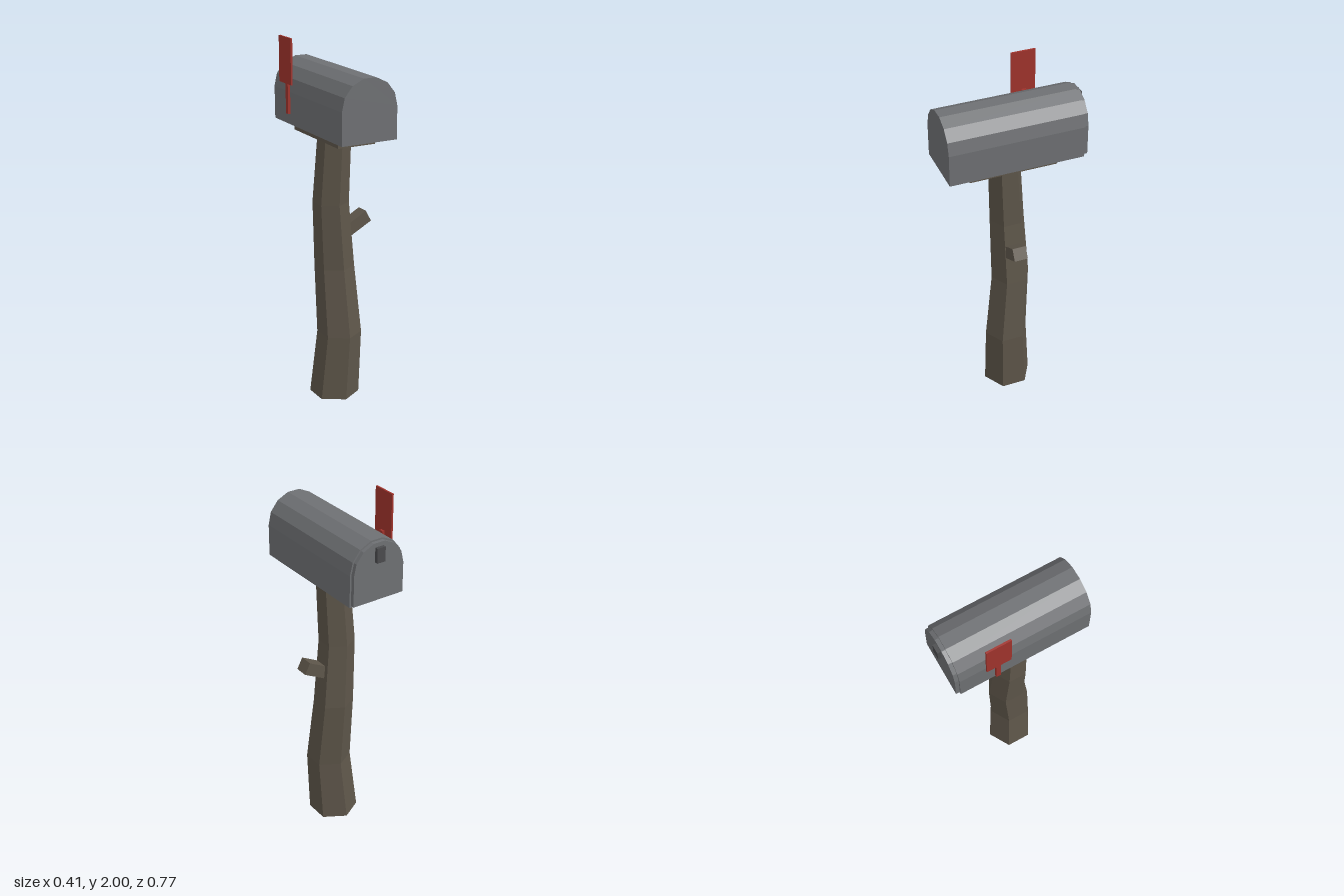
import * as THREE from 'three';

const mat = (color) => new THREE.MeshStandardMaterial({ color, flatShading: true });

export function createModel() {
  const model = new THREE.Group();
  const wood = mat(0x5e564a), metal = mat(0x6e7073), dark = mat(0x4a4b4d), red = mat(0xa0332c);

  const add = (name, geometry, material, x = 0, y = 0, z = 0) => {
    const mesh = new THREE.Mesh(geometry, material);
    mesh.name = name;
    mesh.position.set(x, y, z);
    model.add(mesh);
    return mesh;
  };
  const box = (name, material, [w, h, d], [x, y, z]) =>
    add(name, new THREE.BoxGeometry(w, h, d), material, x, y, z);

  // Crooked hexagonal post: each ring is [x, y, z, radius]
  const rings = [
    [-0.008, 0, 0.021, 0.136],
    [0.016, 0.365, 0.034, 0.122],
    [0.002, 0.75, 0.003, 0.109],
    [-0.025, 1.12, 0.011, 0.098],
    [-0.013, 1.485, 0.029, 0.09],
  ];
  const post = new THREE.CylinderGeometry(1, 1, 1, 6, rings.length - 1);
  const p = post.attributes.position;
  for (let i = 0; i < p.count; i++) {
    const [x, y, z, r] = rings[Math.round((p.getY(i) + 0.5) * (rings.length - 1))];
    p.setXYZ(i, x + p.getX(i) * r, y, z + p.getZ(i) * r);
  }
  post.computeVertexNormals();
  add('post', post, wood);

  // Stub of a cut branch on the left side
  box('branchStub', wood, [0.18, 0.069, 0.075], [0.107, 0.976, 0.018]).rotation.z = 0.49;

  // Board between post and box
  box('mountingBoard', wood, [0.22, 0.045, 0.48], [-0.01, 1.503, 0.02]);

  // Arched prism: flat base, straight walls, seven-sided round top
  const arch = (radius, wall, depth) => {
    const shape = new THREE.Shape();
    shape.moveTo(-radius, -wall);
    shape.lineTo(radius, -wall);
    for (let i = 0; i <= 7; i++) {
      const a = (i / 7) * Math.PI;
      shape.lineTo(radius * Math.cos(a), radius * Math.sin(a));
    }
    shape.closePath();
    return new THREE.ExtrudeGeometry(shape, { depth, bevelEnabled: false });
  };
  add('boxBody', arch(0.161, 0.175, 0.735), metal, -0.009, 1.7, -0.35);
  add('door', arch(0.152, 0.166, 0.03), metal, -0.009, 1.7, -0.371);
  box('doorHandle', dark, [0.05, 0.08, 0.025], [-0.009, 1.786, -0.377]);

  // Raised signal flag on the right side
  box('flagArm', red, [0.014, 0.19, 0.025], [-0.192, 1.685, -0.152]);
  box('flagPlate', red, [0.01, 0.245, 0.135], [-0.203, 1.877, -0.152]);

  return model;
}
